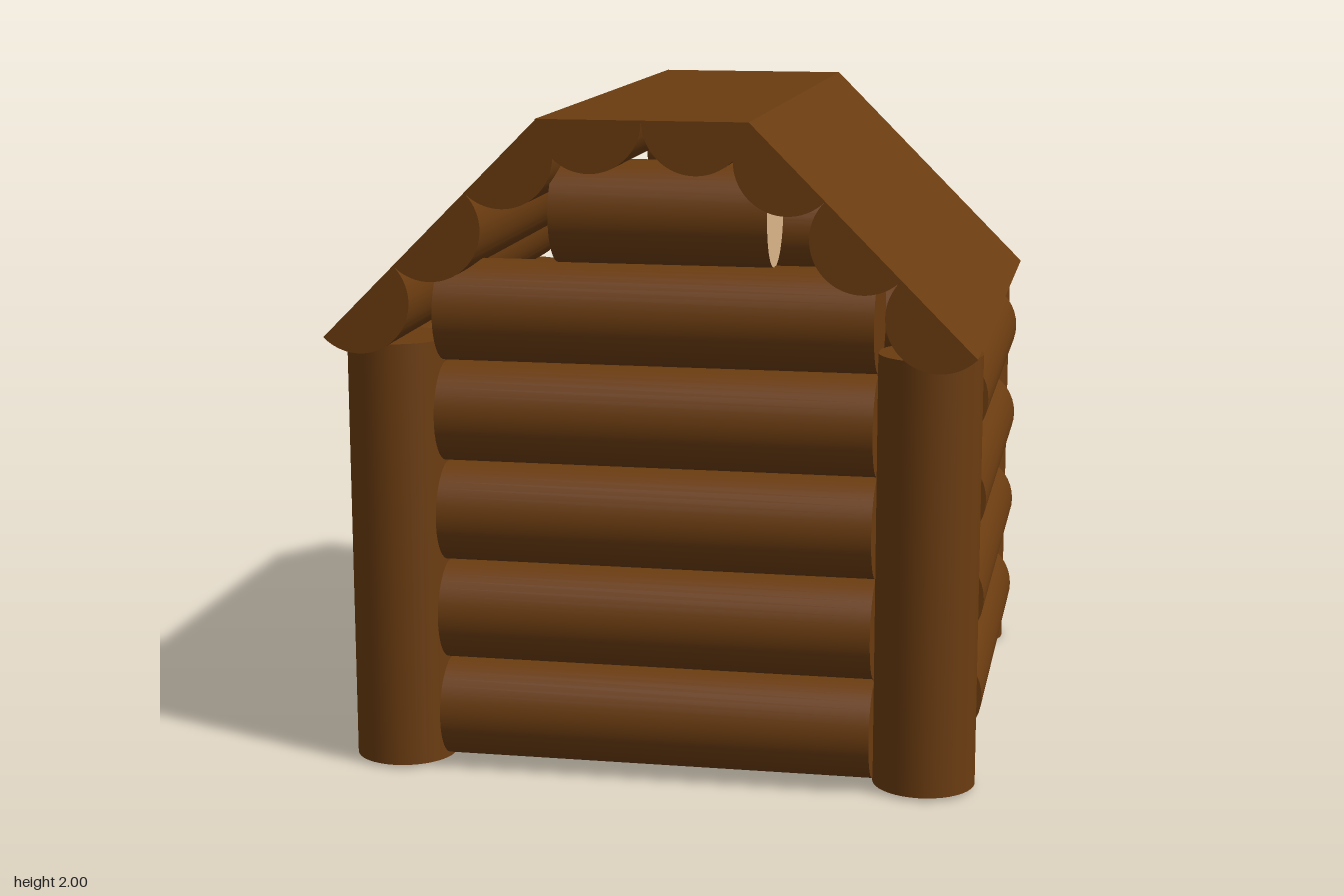
import * as THREE from 'three';
import { toCreasedNormals } from 'three/addons/utils/BufferGeometryUtils.js';

const R = 0.154;      // log radius
const LENGTH = 1.31;  // full log length

export function createModel() {
  const group = new THREE.Group();
  group.name = 'logCabin';

  const bark = new THREE.MeshStandardMaterial({ color: 0x6b3c10 });
  const cutWood = new THREE.MeshStandardMaterial({ color: 0xdeb88c });

  const logGeometry = new THREE.CylinderGeometry(R, R, LENGTH, 40);
  const shortGeometry = new THREE.CylinderGeometry(R, R, 0.645, 40);

  // Adds one round log, lying along the chosen axis
  function addLog(parent, name, axis, x, y, z, geometry = logGeometry, material = bark) {
    const log = new THREE.Mesh(geometry, material);
    log.name = name;
    log.position.set(x, y, z);
    if (axis === 'x') log.rotation.z = Math.PI / 2;
    if (axis === 'z') log.rotation.x = Math.PI / 2;
    parent.add(log);
  }

  function addPart(name) {
    const part = new THREE.Group();
    part.name = name;
    group.add(part);
    return part;
  }

  // Corner posts
  const posts = addPart('cornerPosts');
  addLog(posts, 'frontLeftPost', 'y', 0.815, 0.665, 0.775);
  addLog(posts, 'frontRightPost', 'y', -0.795, 0.665, 0.775);
  addLog(posts, 'backLeftPost', 'y', 0.785, 0.655, -0.83);
  addLog(posts, 'backRightPost', 'y', -0.825, 0.655, -0.83);

  // Front wall: five stacked logs
  const front = addPart('frontWall');
  for (let i = 0; i < 5; i++) addLog(front, 'frontLog', 'x', 0.01, 0.172 + i * 0.309, 0.775);

  // Back wall: two logs above the open doorway
  const back = addPart('backWall');
  for (const y of [1.146, 1.455]) addLog(back, 'backLog', 'x', -0.018, y, -0.83);

  // Side walls: four logs each
  for (const [name, x] of [['leftWall', 0.82], ['rightWall', -0.815]]) {
    const wall = addPart(name);
    for (let i = 0; i < 4; i++) addLog(wall, 'sideLog', 'z', x, 0.233 + i * 0.308, -0.03);
  }

  // Short gable logs with pale sawn ends
  const gableMaterials = [bark, cutWood, cutWood];
  addLog(front, 'frontGableLog', 'x', 0.032, 1.713, 0.775, shortGeometry, gableMaterials);
  addLog(back, 'backGableLog', 'x', -0.003, 1.765, -0.83, shortGeometry, gableMaterials);

  // Roof of split logs, flat side outward
  const halfDisc = new THREE.Shape();
  halfDisc.absarc(0, 0, 0.155, Math.PI, Math.PI * 2, false);
  halfDisc.closePath();
  const depth = 1.957;
  const halfGeometry = toCreasedNormals(
    new THREE.ExtrudeGeometry(halfDisc, { depth, bevelEnabled: false, curveSegments: 24 })
      .translate(0, 0, -depth / 2),
    0.6
  );

  const roof = addPart('roof');
  function addHalfLog(name, x, y, z, angle) {
    const half = new THREE.Mesh(halfGeometry, bark);
    half.name = name;
    half.position.set(x, y, z);
    half.rotation.z = angle;
    roof.add(half);
  }

  for (const side of [1, -1]) {
    addHalfLog('ridgeHalfLog', side * 0.155, 2, 0.008, 0);
    for (let i = 0; i < 3; i++) {
      const d = (i + 0.5) * 0.31 * Math.SQRT1_2;
      addHalfLog('slopeHalfLog', side * (0.31 + d), 2 - d, side > 0 ? 0.008 : -0.012, -side * Math.PI / 4);
    }
  }

  return group;
}
